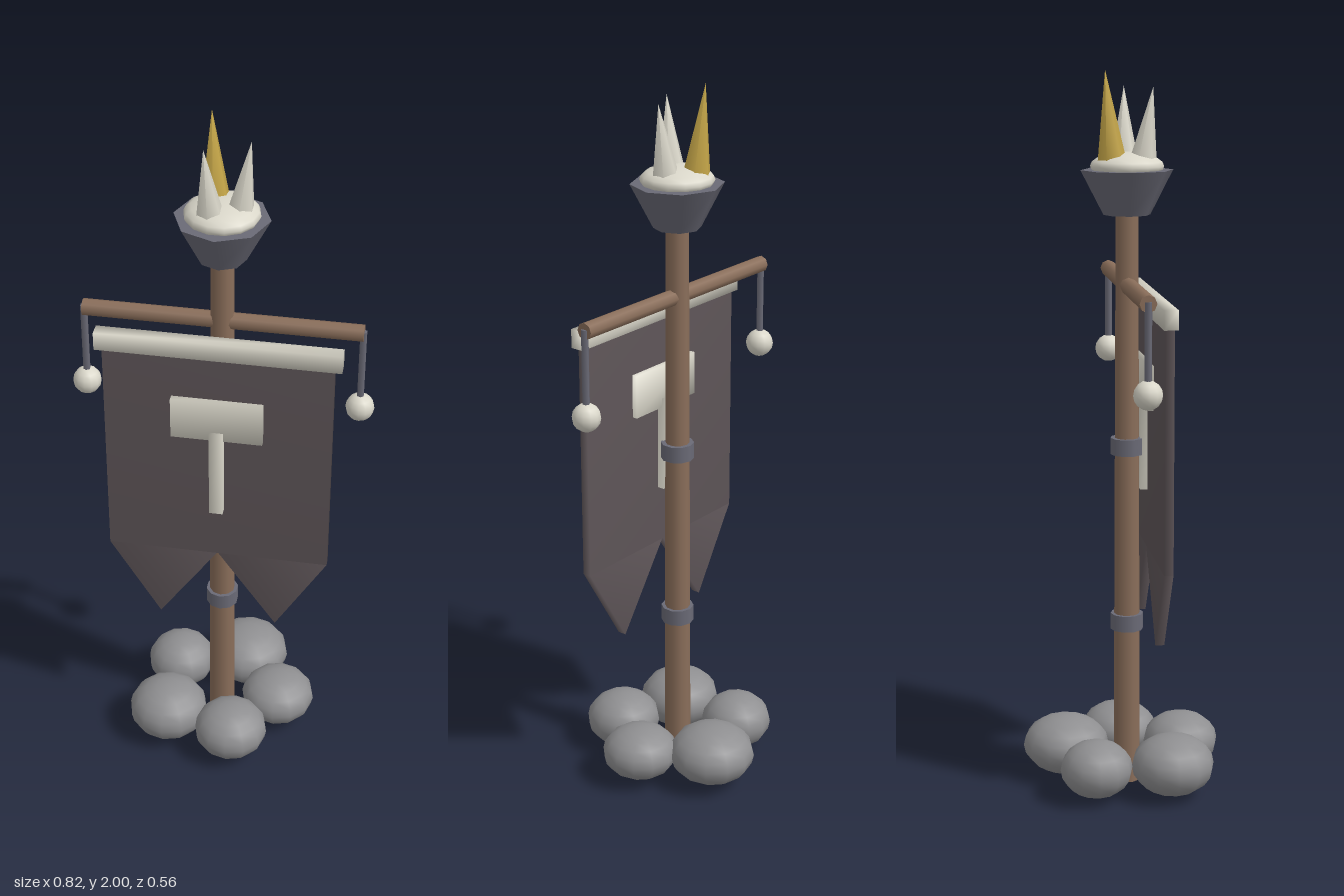
import * as THREE from 'three';
import { mergeVertices } from 'three/addons/utils/BufferGeometryUtils.js';

const material = (name, color) => {
  const m = new THREE.MeshStandardMaterial({ color });
  m.name = name;
  return m;
};

// Shares corner vertices so shading flows softly round the edges
function soften(geometry) {
  geometry.deleteAttribute('normal');
  geometry.deleteAttribute('uv');
  const g = mergeVertices(geometry, 1e-4);
  g.computeVertexNormals();
  return g;
}

export function createModel() {
  const root = new THREE.Group();
  root.name = 'bannerStandard';
  const wood = material('wood', 0x8a6e5a);
  const bone = material('bone', 0xdad7ca);
  const iron = material('iron', 0x6a6a76);
  const cloth = material('cloth', 0x5e5558);
  const stone = material('stone', 0x8f8f91);
  const gold = material('gold', 0xc4a548);

  const add = (name, geometry, mat, x, y, z) => {
    const mesh = new THREE.Mesh(geometry, mat);
    mesh.name = name;
    mesh.position.set(x, y, z);
    root.add(mesh);
    return mesh;
  };
  const axisZ = 0.006;

  // Ring of squashed stones: x, y, z, radius, half height
  [
    [0.052, 0.096, -0.163, 0.122, 0.083],
    [-0.145, 0.092, -0.1, 0.101, 0.08],
    [0.17, 0.092, 0.007, 0.108, 0.075],
    [-0.145, 0.093, 0.115, 0.116, 0.085],
    [0.053, 0.09, 0.17, 0.107, 0.08],
  ].forEach(([x, y, z, r, h], i) => {
    add('baseStone' + (i + 1), new THREE.SphereGeometry(1, 12, 10), stone, x, y, z).scale.set(r, h, r);
  });

  // Pole and its iron bands
  add('pole', new THREE.CylinderGeometry(0.031, 0.038, 1.63, 10), wood, 0, 0.815, axisZ);
  [0.473, 0.978].forEach((y, i) => {
    add('poleBand' + (i + 1), new THREE.CylinderGeometry(0.046, 0.046, 0.046, 10), iron, 0, y, axisZ);
  });

  // Crossbar with a hanging ball at each end
  add('crossbar', new THREE.CylinderGeometry(0.023, 0.023, 0.75, 8), wood, 0, 1.425, axisZ).rotation.z = Math.PI / 2;
  for (const side of [1, -1]) {
    const label = side > 0 ? 'left' : 'right';
    add(label + 'Cord', new THREE.CylinderGeometry(0.01, 0.01, 0.23, 6), iron, side * 0.373, 1.315, axisZ);
    add(label + 'Ball', new THREE.SphereGeometry(0.039, 12, 8), bone, side * 0.373, 1.19, axisZ);
  }

  // Cloth panel, its top rail and two pointed tails
  const clothZ = 0.073;
  add('bannerRail', soften(new THREE.BoxGeometry(0.66, 0.052, 0.038)), bone, 0, 1.375, clothZ);
  add('bannerCloth', soften(new THREE.BoxGeometry(0.62, 0.68, 0.025)), cloth, 0, 1.03, clothZ);
  for (const side of [1, -1]) {
    const points = [[0.31, 0.69], [0.002, 0.69], [0.167, 0.45]].map(([x, y]) => new THREE.Vector2(side * x, y));
    const tail = new THREE.ExtrudeGeometry(new THREE.Shape(points), { depth: 0.025, bevelEnabled: false });
    add(side > 0 ? 'leftTail' : 'rightTail', soften(tail), cloth, 0, 0, clothZ - 0.0125);
  }

  // Raised emblem running through the cloth
  add('emblemBar', soften(new THREE.BoxGeometry(0.25, 0.122, 0.058)), bone, 0, 1.16, clothZ + 0.002);
  add('emblemStem', soften(new THREE.BoxGeometry(0.038, 0.27, 0.072)), bone, 0, 0.99, clothZ + 0.004);

  // Iron cup holding a rounded bone cap
  add('cup', new THREE.CylinderGeometry(0.126, 0.064, 0.12, 8), iron, 0, 1.675, axisZ);
  add('cap', new THREE.SphereGeometry(1, 14, 10), bone, 0, 1.745, axisZ).scale.set(0.1, 0.038, 0.1);

  // Three spikes leaning outwards: base point, tip point, radius
  [
    ['goldSpike', gold, [-0.025, 1.76, -0.038], [-0.037, 2, -0.058], 0.039],
    ['leftSpike', bone, [0.047, 1.76, 0.006], [0.074, 1.955, 0.008], 0.037],
    ['frontSpike', bone, [-0.025, 1.76, 0.046], [-0.036, 1.955, 0.071], 0.037],
  ].forEach(([name, mat, from, to, radius]) => {
    const base = new THREE.Vector3(...from);
    const axis = new THREE.Vector3(...to).sub(base);
    const height = axis.length();
    const spike = add(name, new THREE.ConeGeometry(radius, height, 6).translate(0, height / 2, 0), mat, ...from);
    spike.quaternion.setFromUnitVectors(new THREE.Vector3(0, 1, 0), axis.normalize());
  });

  return root;
}
